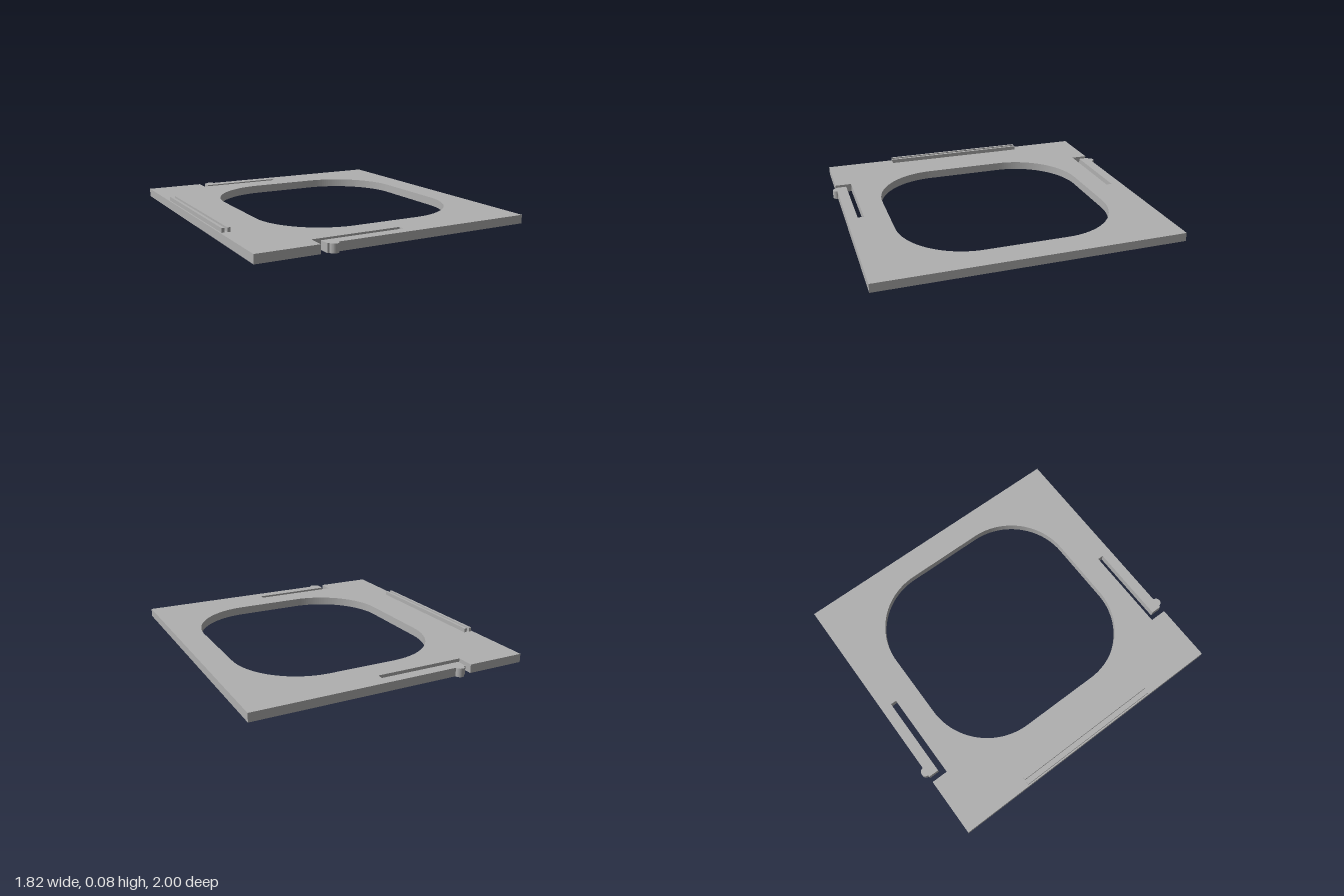
import * as THREE from 'three';

export function createModel() {
  const group = new THREE.Group();
  const grey = new THREE.MeshStandardMaterial({ color: 0xb0b0b0 });
  grey.name = 'grey';

  const T = 0.055; // plate thickness
  const L = -0.908, R = 0.908, E = 0.972; // plate edges

  // Outline with a cut-out spring arm and round catch on the front and back edges
  const plate = new THREE.Shape();
  plate.moveTo(L, -E);
  plate.lineTo(-0.522, -E);
  plate.lineTo(-0.522, -0.862);
  plate.lineTo(0.058, -0.862);
  plate.lineTo(0.058, -0.902);
  plate.lineTo(-0.482, -0.902);
  plate.lineTo(-0.482, -E);
  plate.lineTo(-0.47, -E);
  plate.absarc(-0.441, -E + 0.001, 0.029, Math.PI, Math.PI * 2, false);
  plate.lineTo(R, -E);
  plate.lineTo(R, E);
  plate.lineTo(-0.412, E);
  plate.absarc(-0.441, E - 0.001, 0.029, 0, Math.PI, false);
  plate.lineTo(-0.482, E);
  plate.lineTo(-0.482, 0.902);
  plate.lineTo(0.058, 0.902);
  plate.lineTo(0.058, 0.862);
  plate.lineTo(-0.522, 0.862);
  plate.lineTo(-0.522, E);
  plate.lineTo(L, E);
  plate.closePath();

  // Large opening with rounded corners
  const x0 = -0.59, x1 = 0.73, h = 0.706, r = 0.44;
  const hole = new THREE.Path();
  hole.absarc(x1 - r, h - r, r, 0, Math.PI / 2, false);
  hole.absarc(x0 + r, h - r, r, Math.PI / 2, Math.PI, false);
  hole.absarc(x0 + r, -h + r, r, Math.PI, Math.PI * 1.5, false);
  hole.absarc(x1 - r, -h + r, r, Math.PI * 1.5, Math.PI * 2, false);
  hole.closePath();
  plate.holes.push(hole);

  const plateGeo = new THREE.ExtrudeGeometry(plate, { depth: T, bevelEnabled: false, curveSegments: 20 });
  plateGeo.rotateX(-Math.PI / 2);
  const plateMesh = new THREE.Mesh(plateGeo, grey);
  plateMesh.name = 'framePlate';
  group.add(plateMesh);

  // Two parallel grip ridges along one side
  [-0.89, -0.854].forEach((x, i) => {
    const ridge = new THREE.Mesh(new THREE.BoxGeometry(0.018, 0.027, 0.996), grey);
    ridge.position.set(x, T + 0.0135, 0);
    ridge.name = i ? 'innerRidge' : 'outerRidge';
    group.add(ridge);
  });

  return group;
}
